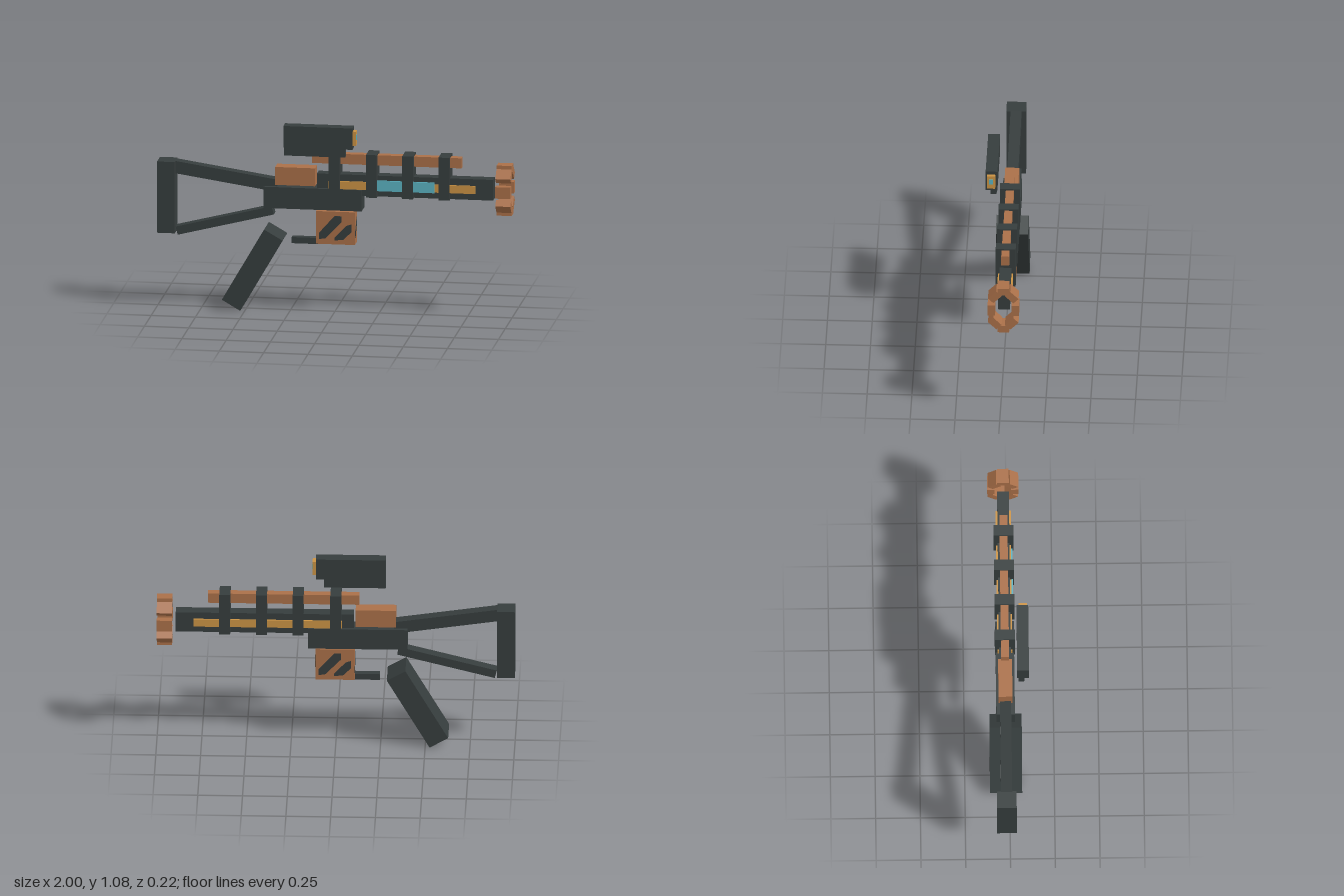
import * as THREE from 'three';

const mat = (name, color) => {
  const m = new THREE.MeshStandardMaterial({ color });
  m.name = name;
  return m;
};

export function createModel() {
  const gunmetal = mat('gunmetal', 0x363d3d);
  const copper = mat('copper', 0xaa7049);
  const gold = mat('gold', 0xcb9344);
  const cyan = mat('cyan', 0x5bb3c2);
  const MID = -0.02; // z of the main axis

  const group = new THREE.Group();
  const add = (name, geo, material, parent = group) => {
    const mesh = new THREE.Mesh(geo, material);
    mesh.name = name;
    parent.add(mesh);
    return mesh;
  };
  // Box given by its x, y and z ranges
  const box = (name, material, [x0, x1], [y0, y1], [z0, z1]) => {
    const mesh = add(name, new THREE.BoxGeometry(x1 - x0, y1 - y0, z1 - z0), material);
    mesh.position.set((x0 + x1) / 2, (y0 + y1) / 2, (z0 + z1) / 2);
    return mesh;
  };
  const wide = w => [MID - w / 2, MID + w / 2];
  // Bar of a given thickness between two points in the xy plane
  const bar = (name, [xa, ya], [xb, yb], thick, depth) => {
    const len = Math.hypot(xb - xa, yb - ya);
    const mesh = add(name, new THREE.BoxGeometry(len, thick, depth), gunmetal);
    mesh.position.set((xa + xb) / 2, (ya + yb) / 2, MID);
    mesh.rotation.z = Math.atan2(yb - ya, xb - xa);
  };

  // Shoulder stock and grip
  box('buttPlate', gunmetal, [-1, -0.9], [0.425, 0.835], wide(0.11));
  bar('upperStrut', [-0.91, 0.802], [-0.325, 0.715], 0.07, 0.062);
  bar('lowerStrut', [-0.893, 0.435], [-0.35, 0.572], 0.048, 0.062);
  bar('grip', [-0.577, 0.032], [-0.338, 0.445], 0.12, 0.18);

  // Receiver and barrel
  box('receiver', gunmetal, [-0.4, 0.155], [0.59, 0.712], wide(0.104));
  box('rearCover', copper, [-0.335, -0.11], [0.722, 0.825], wide(0.078));
  box('barrel', gunmetal, [-0.1, 0.895], [0.676, 0.795], wide(0.066));
  box('topRail', copper, [-0.13, 0.715], [0.852, 0.91], wide(0.045));
  for (const x of [0, 0.21, 0.415, 0.62])
    box('barrelBand', gunmetal, [x - 0.03, x + 0.031], [0.672, 0.918], wide(0.112));

  // Strips along the barrel sides
  box('leftStrip', gold, [-0.035, 0.795], [0.712, 0.757], [0.013, 0.0225]);
  box('rightStrip', gold, [-0.035, 0.795], [0.712, 0.757], [-0.0625, -0.053]);
  box('energyWindow', cyan, [0.24, 0.565], [0.71, 0.77], [0.021, 0.03]);

  // Muzzle: eight blocks on an oval ring
  const muzzle = new THREE.Group();
  muzzle.name = 'muzzleRing';
  muzzle.position.set(0.9575, 0.735, MID);
  group.add(muzzle);
  for (let i = 0; i < 8; i++) {
    const a = (i * Math.PI) / 4;
    const block = add('muzzleBlock', new THREE.BoxGeometry(0.085, 0.042, 0.066), copper, muzzle);
    block.position.set(0, 0.123 * Math.cos(a), 0.067 * Math.sin(a));
    block.rotation.x = a;
  }

  // Offset scope
  box('scopeBody', gunmetal, [-0.275, 0.115], [0.963, 1.086], [0.046, 0.112]);
  box('scopeMount', gunmetal, [-0.275, 0.07], [0.91, 0.965], [0.052, 0.086]);
  box('scopeLens', gold, [0.115, 0.134], [0.985, 1.066], [0.058, 0.104]);
  box('lensGlow', cyan, [0.133, 0.136], [1.015, 1.045], [0.07, 0.092]);

  // Magazine with dark slashes on its faces
  box('magazine', copper, [-0.105, 0.115], [0.392, 0.58], wide(0.078));
  box('trigger', gunmetal, [-0.245, -0.08], [0.385, 0.42], wide(0.04));
  const plate = (points) => new THREE.ExtrudeGeometry(
    new THREE.Shape(points.map(p => new THREE.Vector2(...p))), { depth: 0.003, bevelEnabled: false });
  const broad = [
    [[-0.093, -0.031], [-0.093, -0.066], [-0.055, -0.061], [0.035, 0.034], [0.035, 0.069], [-0.005, 0.069]],
    [[-0.005, -0.056], [-0.005, -0.071], [0.045, -0.066], [0.09, -0.021], [0.09, 0.024], [0.06, 0.014]],
  ];
  const narrow = [[[-0.027, -0.056], [0.027, 0.014], [0.027, 0.054], [-0.027, -0.016]]];
  for (let i = 0; i < 4; i++) {
    const face = new THREE.Group();
    face.name = 'magazineSlashes';
    face.position.set(0.005, 0.486, MID);
    face.rotation.y = (i * Math.PI) / 2;
    group.add(face);
    for (const pts of i % 2 ? narrow : broad)
      add('slash', plate(pts), gunmetal, face).position.z = i % 2 ? 0.109 : 0.038;
  }

  return group;
}
